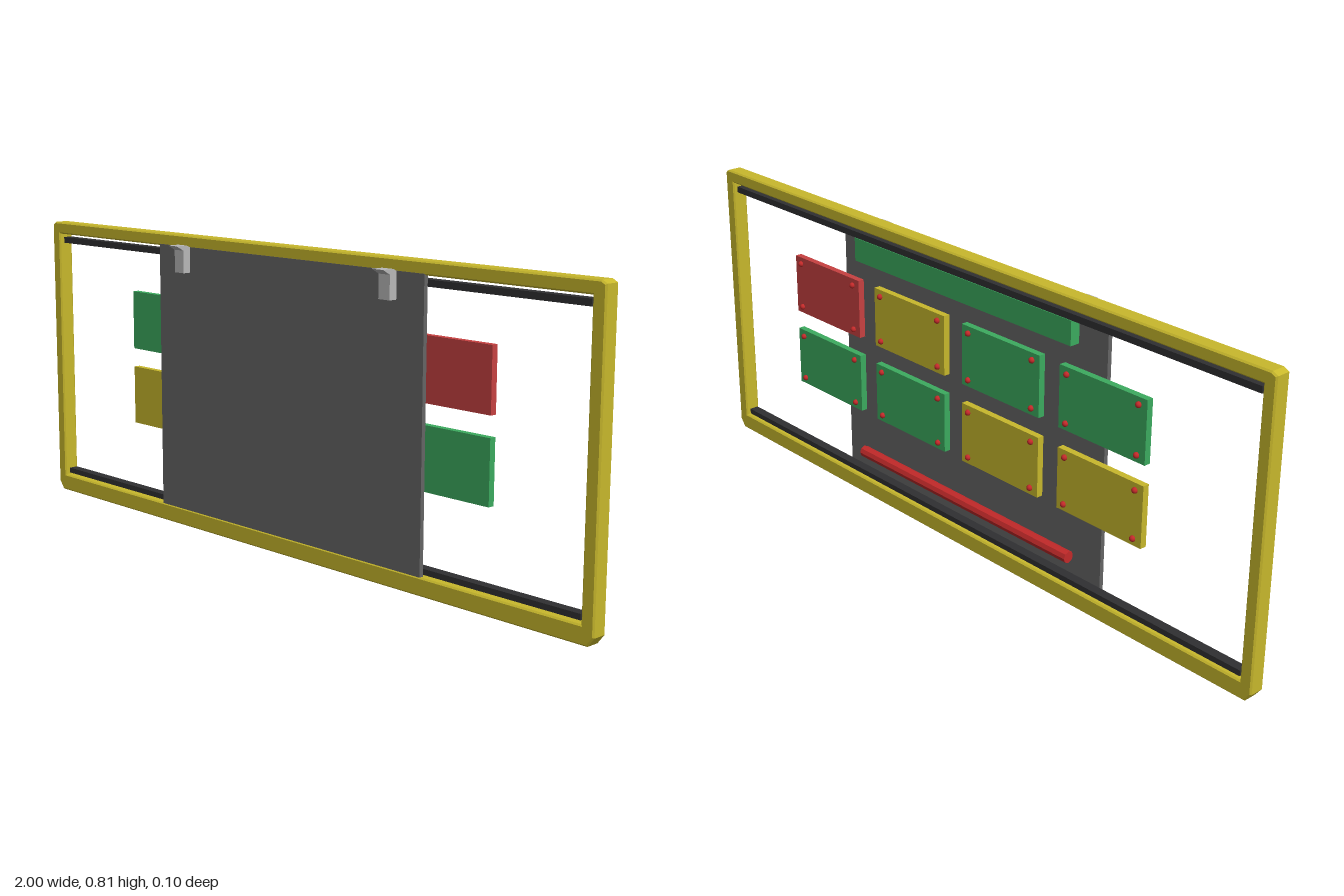
import * as THREE from 'three';

const mat = (name, color) => {
  const m = new THREE.MeshStandardMaterial({ color });
  m.name = name;
  return m;
};

export function createModel() {
  const yellow = mat('yellow', 0xc8b82c);
  const green = mat('green', 0x3cab5f);
  const red = mat('red', 0xc74141);
  const deepRed = mat('deep red', 0xc42a2a);
  const grey = mat('panel grey', 0x656565);
  const black = mat('rail black', 0x303032);
  const silver = mat('hook silver', 0xb8b8b8);

  const model = new THREE.Group();
  const add = (name, geometry, material, parent = model) => {
    const mesh = new THREE.Mesh(geometry, material);
    mesh.name = name;
    parent.add(mesh);
    return mesh;
  };
  // Box given by its limits on each axis
  const box = (name, [x0, x1], [y0, y1], [z0, z1], material, parent) => {
    const mesh = add(name, new THREE.BoxGeometry(x1 - x0, y1 - y0, z1 - z0), material, parent);
    mesh.position.set((x0 + x1) / 2, (y0 + y1) / 2, (z0 + z1) / 2);
    return mesh;
  };
  const polygon = (points) => points.map(([x, y]) => new THREE.Vector2(x, y));

  // Frame: chamfered outline with a rectangular opening and softened edges
  const b = 0.004;
  const outline = new THREE.Shape(polygon([
    [-0.98, b], [0.98, b], [1 - b, 0.025], [1 - b, 0.803],
    [0.985, 0.813 - b], [-0.985, 0.813 - b], [-1 + b, 0.803], [-1 + b, 0.025],
  ]));
  outline.holes.push(new THREE.Path(polygon([
    [-0.966 - b, 0.048 - b], [-0.966 - b, 0.779 + b], [0.964 + b, 0.779 + b], [0.964 + b, 0.048 - b],
  ])));
  const frameGeometry = new THREE.ExtrudeGeometry(outline, {
    depth: 0.044 - 2 * b, bevelThickness: b, bevelSize: b, bevelSegments: 1,
  });
  frameGeometry.translate(0, 0, -0.041 + b);
  add('frame', frameGeometry, yellow);

  // Rails along the top and bottom of the opening
  box('bottomRail', [-0.96, 0.955], [0.053, 0.068], [-0.034, -0.008], black);
  box('topRail', [-0.96, 0.955], [0.752, 0.769], [-0.034, -0.008], black);

  // Sliding panel
  box('panel', [-0.494, 0.486], [0.048, 0.783], [-0.008, 0.004], grey);

  // Hooks on the front of the panel
  const hookProfile = new THREE.Shape(polygon([
    [0.003, 0.714], [0.027, 0.714], [0.027, 0.775], [0.05, 0.788], [0.015, 0.788], [0.003, 0.782],
  ]));
  for (const x of [-0.383, 0.379]) {
    const g = new THREE.ExtrudeGeometry(hookProfile, { depth: 0.037, bevelEnabled: false });
    g.translate(0, 0, -0.0185);
    g.rotateY(-Math.PI / 2); // profile x becomes z
    add('hook', g, silver).position.x = x;
  }

  // Bars on the back of the panel
  box('upperBar', [-0.4, 0.41], [0.688, 0.752], [-0.036, -0.008], green);
  const lowerBar = new THREE.CylinderGeometry(0.016, 0.016, 0.81, 8).toNonIndexed();
  lowerBar.rotateZ(Math.PI / 2);
  lowerBar.computeVertexNormals();
  add('lowerBar', lowerBar, deepRed).position.set(0.005, 0.12, -0.023);

  // Two rows of cards, each with a round stud near every corner
  const studGeometry = new THREE.SphereGeometry(0.008, 12, 8);
  const rows = [
    { y: 0.553, colours: [green, green, yellow, red] },
    { y: 0.336, colours: [yellow, yellow, green, green] },
  ];
  for (const { y, colours } of rows) {
    colours.forEach((colour, i) => {
      const card = new THREE.Group();
      card.name = 'card';
      card.position.set(-0.51 + i * 0.348, y, 0);
      model.add(card);
      box('cardPlate', [-0.14, 0.14], [-0.082, 0.082], [-0.04, -0.022], colour, card);
      for (const sx of [-1, 1]) for (const sy of [-1, 1]) {
        add('stud', studGeometry, deepRed, card).position.set(sx * 0.115, sy * 0.0635, -0.042);
      }
    });
  }

  return model;
}
